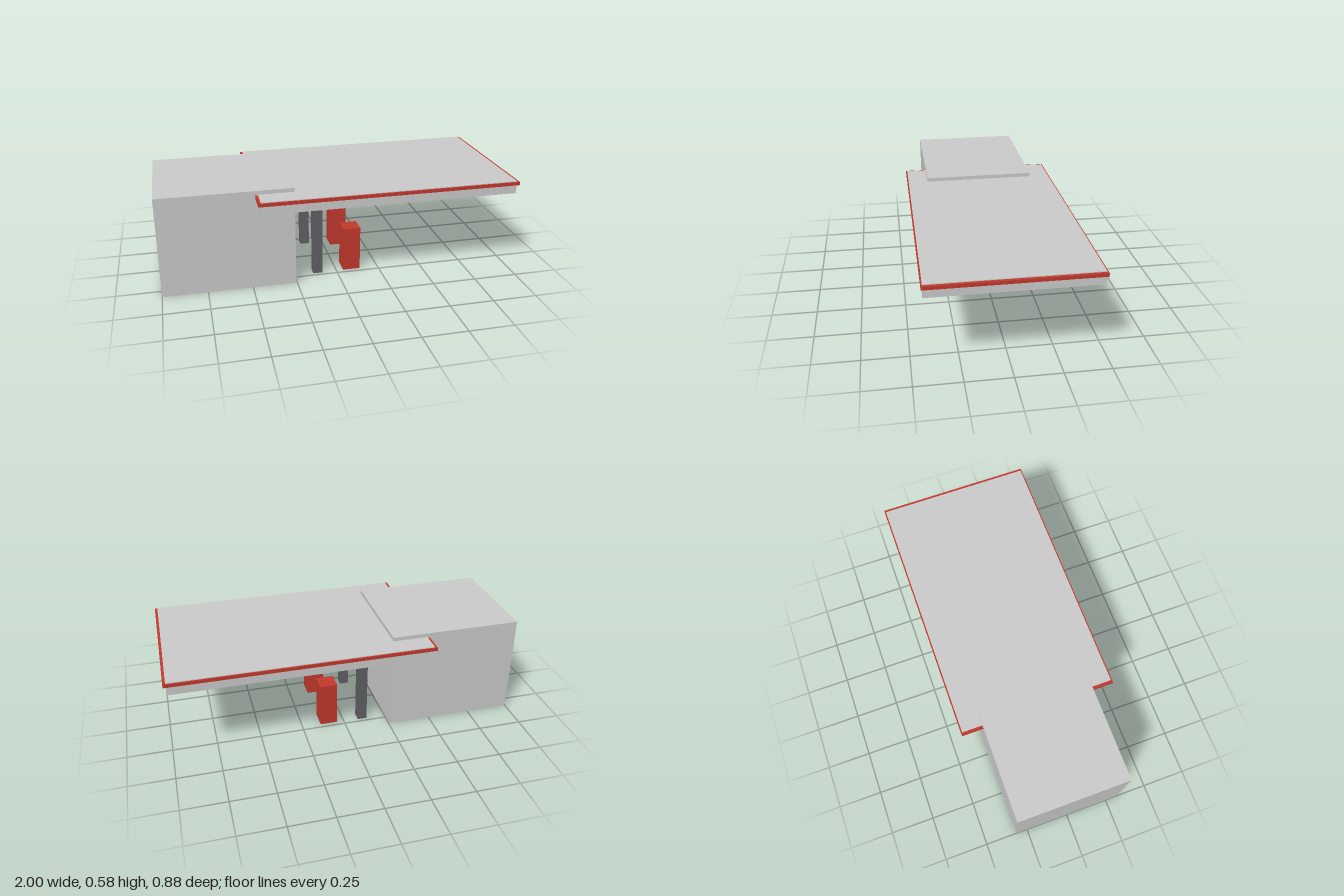
import * as THREE from 'three';

const grey = new THREE.MeshStandardMaterial({ color: 0xcccccc });
const red = new THREE.MeshStandardMaterial({ color: 0xc4392d });
const darkGrey = new THREE.MeshStandardMaterial({ color: 0x606066 });

// Box resting on height y, centred on x and z
function block(name, material, [w, h, d], [x, y, z]) {
  const mesh = new THREE.Mesh(new THREE.BoxGeometry(w, h, d), material);
  mesh.name = name;
  mesh.position.set(x, y + h / 2, z);
  return mesh;
}

export function createModel() {
  const model = new THREE.Group();
  model.name = 'fillingStation';

  // Shop building
  model.add(block('shop', grey, [0.745, 0.577, 0.634], [-0.6275, 0, 0]));

  // Canopy roof with a thin coloured band just below its top
  model.add(block('canopy', grey, [1.439, 0.072, 0.864], [0.266, 0.483, 0]));
  model.add(block('canopyTrim', red, [1.468, 0.019, 0.878], [0.266, 0.532, 0]));

  // Canopy columns and fuel pumps, mirrored front to back
  for (const [side, s] of [['front', 1], ['back', -1]]) {
    model.add(block(side + 'Column', darkGrey, [0.054, 0.483, 0.054], [-0.112, 0, s * 0.202]));
    model.add(block(side + 'Pump', red, [0.1, 0.26, 0.1], [0.091, 0, s * 0.173]));
  }
  return model;
}
